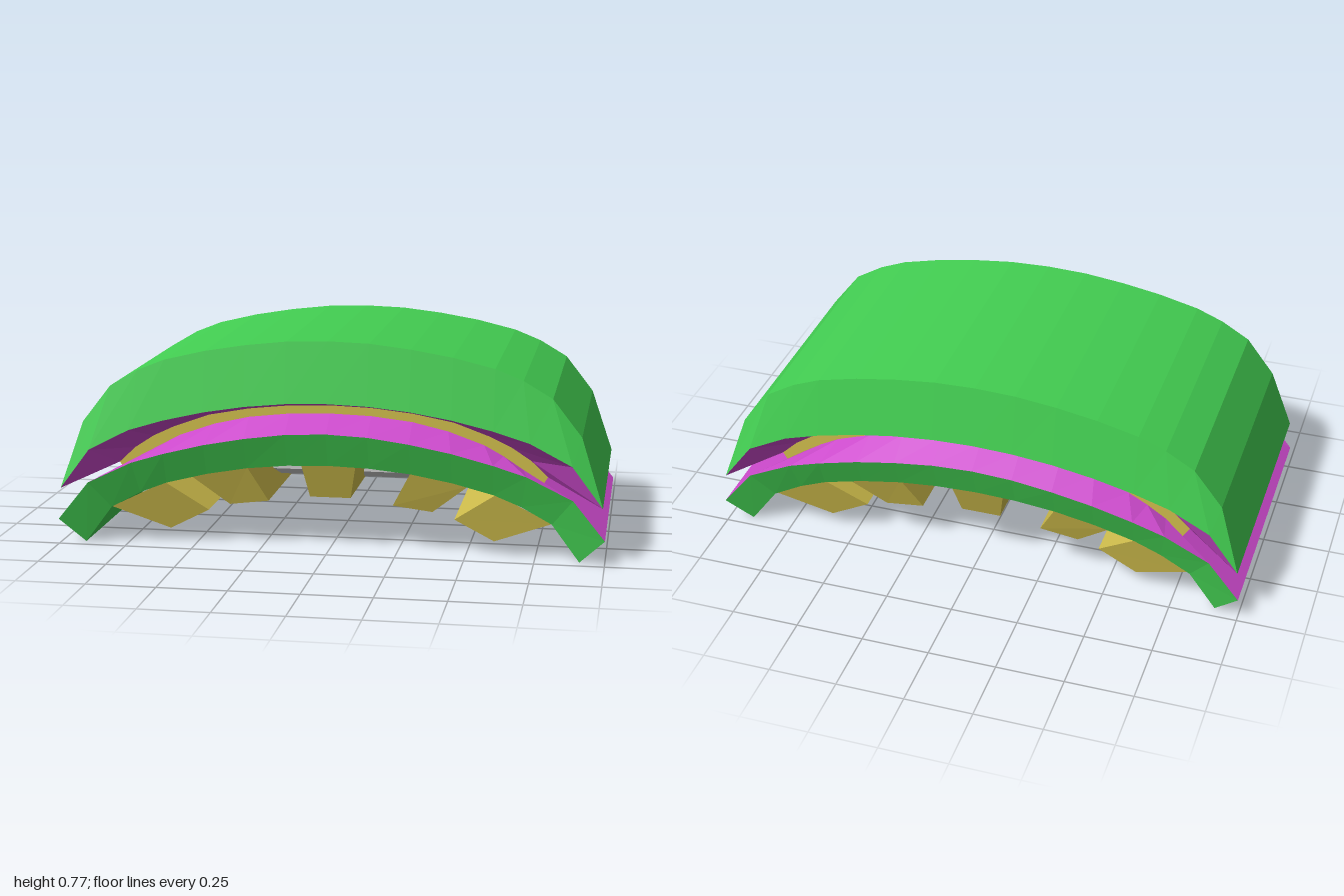
import * as THREE from 'three';

const paint = (name, color) => {
  const m = new THREE.MeshStandardMaterial({ color });
  m.name = name;
  return m;
};

// A ring is an arc of [x, y] points, left to right, repeated at z = +depth and z = -depth.
const ring = (arc, depth) => ({
  front: arc.map(([x, y]) => [x, y, depth]),
  back: arc.map(([x, y]) => [x, y, -depth]),
});

// Mirrors a half arc (centre to end) into a full arc.
const mirrored = (half) => [
  ...half.slice(1).reverse().map(([x, y]) => [-x, y]),
  ...half,
];

function facets(quads) {
  const pos = [];
  for (const [a, b, c, d] of quads) pos.push(...a, ...b, ...c, ...a, ...c, ...d);
  const g = new THREE.BufferGeometry();
  g.setAttribute('position', new THREE.Float32BufferAttribute(pos, 3));
  g.computeVertexNormals();
  return g;
}

// Closed outer wall between an upper and a lower ring.
function wall(upper, lower) {
  const u = [...upper.front, ...[...upper.back].reverse()];
  const l = [...lower.front, ...[...lower.back].reverse()];
  return u.map((p, i) => {
    const j = (i + 1) % u.length;
    return [l[i], l[j], u[j], p];
  });
}

// Curved sheet spanning a ring, facing up or down.
function sheet({ front, back }, up) {
  return front.slice(1).map((p, i) => {
    const q = [front[i], p, back[i + 1], back[i]];
    return up ? q : q.reverse();
  });
}

export function createModel() {
  const model = new THREE.Group();
  model.name = 'archedShell';
  const green = paint('green', 0x43cf52);
  const purple = paint('purple', 0xcb49cb);
  const yellow = paint('yellow', 0xd0be4c);
  const grey = paint('grey', 0xcccccc);

  const add = (name, quads, material) => {
    const mesh = new THREE.Mesh(facets(quads), material);
    mesh.name = name;
    model.add(mesh);
  };

  // Arcs from the top of the stack to the bottom
  const arc = (ys, xs, depth) => ring(mirrored(xs.map((x, i) => [x, ys[i]])), depth);
  const top = arc([0.775, 0.77, 0.753, 0.728, 0.692, 0.652, 0.59, 0.455],
    [0, 0.15, 0.3, 0.45, 0.6, 0.7, 0.805, 0.91], 0.455);
  const upperRim = arc([0.555, 0.55, 0.535, 0.51, 0.475, 0.435, 0.357, 0.21],
    [0, 0.15, 0.3, 0.45, 0.6, 0.73, 0.88, 0.99], 0.497);
  const coreTop = arc([0.532, 0.527, 0.511, 0.483, 0.436, 0.398, 0.352, 0.295],
    [0, 0.15, 0.3, 0.45, 0.58, 0.66, 0.73, 0.79], 0.4);
  const coreBottom = arc([0.502, 0.497, 0.48, 0.45, 0.404, 0.366, 0.32, 0.255],
    [0, 0.15, 0.3, 0.43, 0.56, 0.63, 0.7, 0.765], 0.4);
  const lowerRim = arc([0.445, 0.438, 0.418, 0.39, 0.352, 0.315, 0.235, 0.093],
    [0, 0.15, 0.3, 0.45, 0.6, 0.72, 0.885, 1], 0.5);
  const underside = arc([0.32, 0.315, 0.3, 0.273, 0.235, 0.195, 0.135, 0],
    [0, 0.15, 0.3, 0.45, 0.6, 0.7, 0.81, 0.91], 0.455);

  // Stacked shells with a V-shaped groove between them
  add('upperShell', [...sheet(top, true), ...wall(top, upperRim)], green);
  add('upperBevel', wall(upperRim, coreTop), purple);
  add('core', wall(coreTop, coreBottom), yellow);
  add('lowerBevel', wall(coreBottom, lowerRim), purple);
  add('lowerShell', [...wall(lowerRim, underside), ...sheet(underside, false)], green);

  // Tapered ribs: top left, bottom left, bottom right, top right
  const rib = (name, [tl, bl, br, tr]) => {
    const upper = ring([tl, tr], 0.445);
    const lower = ring([bl, br], 0.4);
    add(name, [...wall(upper, lower), ...sheet(lower, false)], yellow);
  };
  const flip = (corners) => corners.map(([x, y]) => [-x, y]).reverse();
  const outer = [[-0.81, 0.135], [-0.6, 0.05], [-0.455, 0.125], [-0.61, 0.235]];
  const inner = [[-0.51, 0.262], [-0.375, 0.15], [-0.23, 0.168], [-0.3, 0.302]];
  rib('rightOuterRib', outer);
  rib('leftOuterRib', flip(outer));
  rib('rightInnerRib', inner);
  rib('leftInnerRib', flip(inner));
  rib('centreRib', [[-0.1, 0.32], [-0.075, 0.19], [0.075, 0.19], [0.1, 0.32]]);

  // Crossbar joining the three middle ribs, bevelled below
  const bar = (y, depth) => ring([[-0.29, y], [0.29, y]], depth);
  const barBottom = bar(0.198, 0.08);
  add('crossbar', [
    ...wall(bar(0.302, 0.14), bar(0.23, 0.14)),
    ...wall(bar(0.23, 0.14), barBottom),
    ...sheet(barBottom, false),
  ], grey);
  const block = ring([[-0.29, 0.3], [-0.15, 0.314], [0, 0.319], [0.15, 0.314], [0.29, 0.3]], 0.14);
  const blockBase = ring([-0.29, -0.15, 0, 0.15, 0.29].map((x) => [x, 0.3]), 0.14);
  add('crossbarSeat', wall(block, blockBase), grey);
  return model;
}
